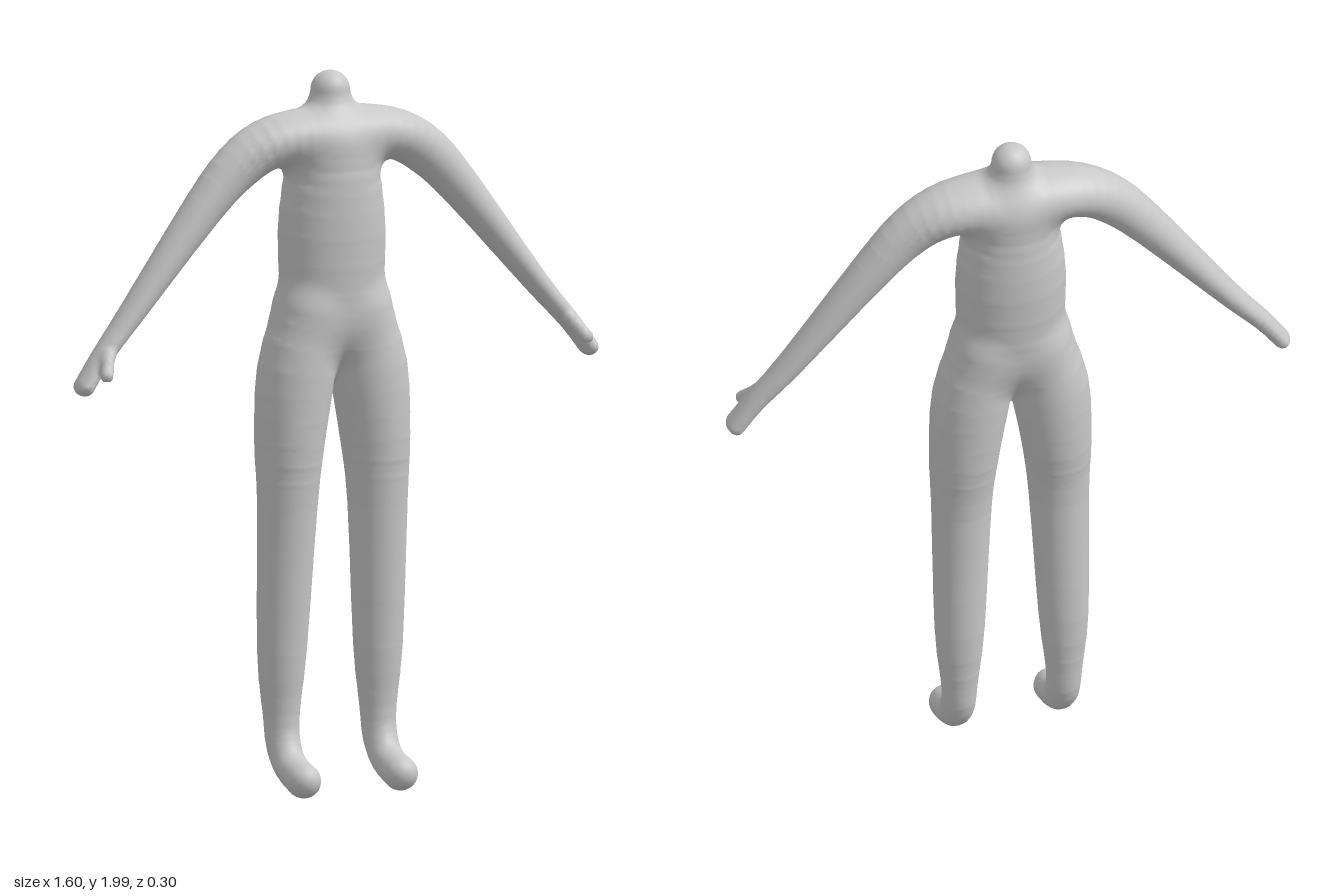
import * as THREE from 'three';

// Each limb is a chain of rounded sections: [x, y, z, radius, depth radius].
const torso = [
  [0, 1.34, -0.022, 0.147, 0.108], [0, 1.55, -0.024, 0.154, 0.122],
  [0, 1.7, -0.022, 0.136, 0.118], [0, 1.76, -0.022, 0.115, 0.108]];
const leg = [
  [0.085, 1.33, -0.022, 0.085, 0.1], [0.113, 1.17, -0.021, 0.106, 0.107], [0.132, 0.98, -0.02, 0.096, 0.1],
  [0.139, 0.8, -0.019, 0.083, 0.082], [0.148, 0.4, -0.034, 0.069, 0.066], [0.149, 0.22, -0.036, 0.051, 0.05],
  [0.149, 0.135, -0.022, 0.047, 0.05], [0.149, 0.08, 0.025, 0.046, 0.048], [0.149, 0.053, 0.1, 0.048, 0.05]];
const arm = [
  [0, 1.82, -0.026, 0.085, 0.1], [0.1, 1.823, -0.026, 0.076, 0.097], [0.2, 1.808, -0.024, 0.07, 0.084],
  [0.29, 1.755, -0.022, 0.067, 0.067], [0.395, 1.647, -0.022, 0.056, 0.058],
  [0.62, 1.372, -0.014, 0.034, 0.045], [0.72, 1.255, -0.004, 0.027, 0.039], [0.775, 1.18, 0.003, 0.025, 0.042]];
const neck = [[0, 1.85, -0.032, 0.066, 0.066], [0, 1.945, -0.032, 0.055, 0.055]];
const thumb = [[0.71, 1.265, 0.025, 0.018, 0.018], [0.738, 1.218, 0.07, 0.018, 0.018]];

// Round off a chain with Catmull-Rom steps between its sections
function refine(sections, steps = 3) {
  const out = [], last = sections.length - 1;
  const at = (i) => sections[Math.min(last, Math.max(0, i))];
  for (let i = 0; i < last; i++) {
    for (let s = 0; s < steps; s++) {
      const t = s / steps;
      out.push(at(i).map((b, k) => {
        const a = at(i - 1)[k], c = at(i + 1)[k], d = at(i + 2)[k];
        return b + 0.5 * t * (c - a + t * (2 * a - 5 * b + 4 * c - d + t * (3 * (b - c) + d - a)));
      }));
    }
  }
  return [...out, sections[last]];
}

// A chain joins the chains before it with a smooth fillet of size "blend"
function makeChain(name, sections, blend, paired) {
  const points = refine(sections);
  const bound = (k, sign) => Math.max(...points.map((p) => sign * p[k] + Math.max(p[3], p[4]))) + 0.1;
  const axes = [0, 1, 2];
  return { name, blend, paired, points, hi: axes.map((k) => bound(k, 1)), lo: axes.map((k) => -bound(k, -1)) };
}

const CHAINS = [
  makeChain('torso', torso, 0, false),
  makeChain('leg', leg, 0.05, true),
  makeChain('arm', arm, 0.06, true),
  makeChain('neck', neck, 0.04, false),
  makeChain('thumb', thumb, 0.015, true),
];

// Approximate distance from a point to one chain
function chainDistance({ points, lo, hi }, x, y, z) {
  if (x < lo[0] || x > hi[0] || y < lo[1] || y > hi[1] || z < lo[2] || z > hi[2]) return 1;
  let best = 1;
  for (let i = 0; i + 1 < points.length; i++) {
    const a = points[i], b = points[i + 1];
    const dx = b[0] - a[0], dy = b[1] - a[1], dz = b[2] - a[2];
    let t = ((x - a[0]) * dx + (y - a[1]) * dy + (z - a[2]) * dz) / (dx * dx + dy * dy + dz * dz);
    t = Math.min(1, Math.max(0, t));
    const r = a[3] + (b[3] - a[3]) * t, rz = a[4] + (b[4] - a[4]) * t;
    const qx = (x - a[0] - dx * t) / r, qy = (y - a[1] - dy * t) / r, qz = (z - a[2] - dz * t) / rz;
    const k0 = Math.sqrt(qx * qx + qy * qy + qz * qz);
    const k1 = Math.sqrt((qx * qx + qy * qy) / (r * r) + (qz * qz) / (rz * rz));
    const d = k1 < 1e-6 ? -Math.min(r, rz) : (k0 * (k0 - 1)) / k1;
    if (d < best) best = d;
  }
  return best;
}

// Blended distance to the whole body, mirrored about x = 0
function bodyDistance(x, y, z) {
  const mx = Math.sqrt(x * x + 0.0001);
  let d = 1;
  for (const chain of CHAINS) {
    const e = chainDistance(chain, chain.paired ? mx : x, y, z);
    const h = chain.blend ? Math.max(0, chain.blend - Math.abs(d - e)) / chain.blend : 0;
    d = Math.min(d, e) - (h * h * chain.blend) / 4;
  }
  return d;
}

function bodyNormal(x, y, z) {
  const e = 0.002;
  return new THREE.Vector3(
    bodyDistance(x + e, y, z) - bodyDistance(x - e, y, z),
    bodyDistance(x, y + e, z) - bodyDistance(x, y - e, z),
    bodyDistance(x, y, z + e) - bodyDistance(x, y, z - e)).normalize();
}

// Name of the part nearest to a surface point
function partName(p) {
  let best = Infinity, found = CHAINS[0];
  for (const chain of CHAINS) {
    const d = chainDistance(chain, chain.paired ? Math.abs(p.x) : p.x, p.y, p.z);
    if (d < best) { best = d; found = chain; }
  }
  if (!found.paired) return found.name;
  return (p.x > 0 ? 'left' : 'right') + found.name[0].toUpperCase() + found.name.slice(1);
}

// Skin the body: one vertex per grid cell the surface crosses, one quad per crossed grid edge
function skinBody() {
  const h = 0.012, origin = new THREE.Vector3(-0.846, -0.03, -0.19), n = [142, 174, 32];
  const stride = [1, n[0], n[0] * n[1]];
  const field = new Float32Array(n[0] * n[1] * n[2]);
  const forGrid = (margin, visit) => {
    for (let k = margin; k < n[2] - margin; k++)
      for (let j = margin; j < n[1] - margin; j++)
        for (let i = margin; i < n[0] - margin; i++) visit(i, j, k, i + j * stride[1] + k * stride[2]);
  };
  forGrid(0, (i, j, k, g) => {
    field[g] = bodyDistance(origin.x + i * h, origin.y + j * h, origin.z + k * h);
  });

  const ids = new Int32Array(field.length).fill(-1);
  const points = [], positions = [], normals = [];
  const corner = (c) => new THREE.Vector3(c & 1, (c >> 1) & 1, c >> 2);
  const offset = (c) => (c & 1) + ((c >> 1) & 1) * stride[1] + (c >> 2) * stride[2];
  forGrid(1, (i, j, k, g) => {
    const p = new THREE.Vector3();
    let count = 0;
    for (let a = 0; a < 8; a++) {
      for (const bit of [1, 2, 4]) {
        if (a & bit) continue;
        const b = a | bit, fa = field[g + offset(a)], fb = field[g + offset(b)];
        if (fa < 0 === fb < 0) continue;
        p.add(corner(a).lerp(corner(b), fa / (fa - fb)));
        count++;
      }
    }
    if (!count) return;
    p.divideScalar(count).add(new THREE.Vector3(i, j, k)).multiplyScalar(h).add(origin);
    // Settle the vertex onto the surface
    for (let s = 0; s < 2; s++) {
      const f = THREE.MathUtils.clamp(bodyDistance(p.x, p.y, p.z), -h / 3, h / 3);
      p.addScaledVector(bodyNormal(p.x, p.y, p.z), -0.9 * f);
    }
    ids[g] = points.length;
    points.push(p);
    positions.push(p.x, p.y, p.z);
    normals.push(...bodyNormal(p.x, p.y, p.z).toArray());
  });

  const faces = {};
  forGrid(1, (i, j, k, g) => {
    for (let axis = 0; axis < 3; axis++) {
      const inside = field[g] < 0;
      if (inside === field[g + stride[axis]] < 0) continue;
      const b = stride[(axis + 1) % 3], c = stride[(axis + 2) % 3];
      const quad = [ids[g], ids[g - b], ids[g - b - c], ids[g - c]];
      if (!inside) quad.reverse();
      const [p, q, r, s] = quad;
      (faces[partName(points[p])] ??= []).push(p, q, r, p, r, s);
    }
  });
  return { positions, normals, faces };
}

export function createModel() {
  const body = new THREE.Group();
  body.name = 'body';
  const skin = new THREE.MeshStandardMaterial({ color: 0xc8c8c8 });
  skin.name = 'light grey';
  const { positions, normals, faces } = skinBody();
  for (const [name, index] of Object.entries(faces)) {
    const geometry = new THREE.BufferGeometry();
    geometry.setAttribute('position', new THREE.Float32BufferAttribute(positions, 3));
    geometry.setAttribute('normal', new THREE.Float32BufferAttribute(normals, 3));
    geometry.setIndex(index);
    const mesh = new THREE.Mesh(geometry.toNonIndexed(), skin);
    mesh.name = name;
    body.add(mesh);
  }
  return body;
}
